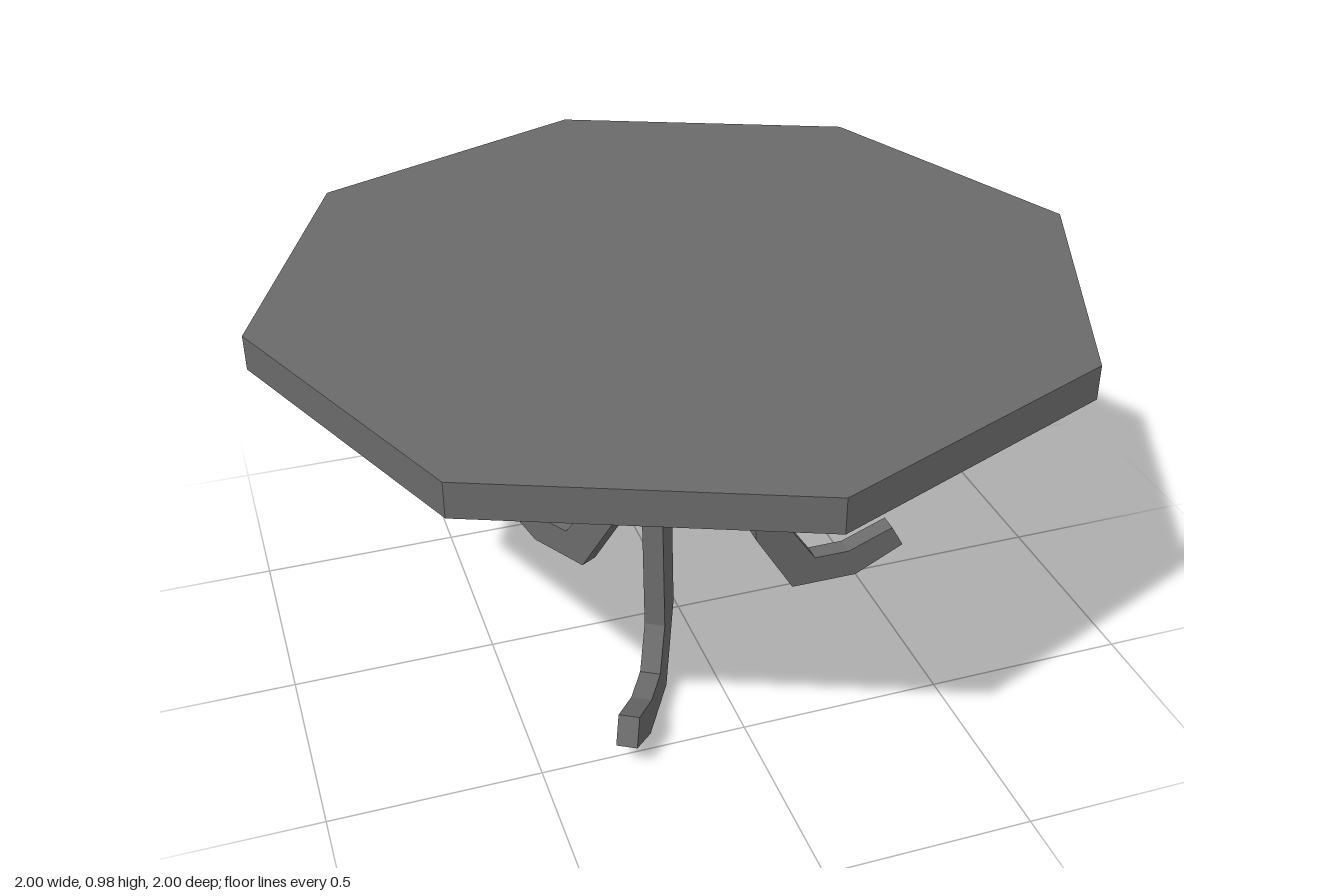
import * as THREE from 'three';

const TOP_BOTTOM = 0.897;   // underside of the table top
const TOP_HEIGHT = 0.98;
const LEG_THICKNESS = 0.05;

export function createModel() {
  const table = new THREE.Group();
  table.name = 'table';
  const material = new THREE.MeshStandardMaterial({ color: 0x6a6a6a, flatShading: true });

  // Octagonal top with corners on the axes
  const top = new THREE.Mesh(
    new THREE.CylinderGeometry(1, 1, TOP_HEIGHT - TOP_BOTTOM, 8), material);
  top.name = 'tableTop';
  top.position.y = (TOP_BOTTOM + TOP_HEIGHT) / 2;
  table.add(top);

  // Side profile of a leg: radius from the centre, height
  const profile = [
    [0.168, TOP_BOTTOM], [0.207, 0.18], [0.317, 0], [0.5, 0], [0.633, 0.07],
    [0.598, 0.133], [0.475, 0.083], [0.378, 0.083], [0.312, 0.18], [0.27, TOP_BOTTOM],
  ].map(([r, y]) => new THREE.Vector2(r, y));

  const legGeometry = new THREE.ExtrudeGeometry(new THREE.Shape(profile), {
    depth: LEG_THICKNESS, bevelEnabled: false,
  });
  legGeometry.translate(0, 0, -LEG_THICKNESS / 2);

  // Each leg leans slightly sideways as it rises
  const position = legGeometry.attributes.position;
  for (let i = 0; i < position.count; i++) {
    const lean = -0.01 + 0.022 * position.getY(i) / TOP_BOTTOM;
    position.setZ(i, position.getZ(i) + lean);
  }
  legGeometry.computeVertexNormals();

  // Three legs evenly around the centre
  ['leftLeg', 'frontRightLeg', 'backRightLeg'].forEach((name, i) => {
    const leg = new THREE.Mesh(legGeometry, material);
    leg.name = name;
    leg.rotation.y = -i * Math.PI * 2 / 3;
    table.add(leg);
  });

  return table;
}
